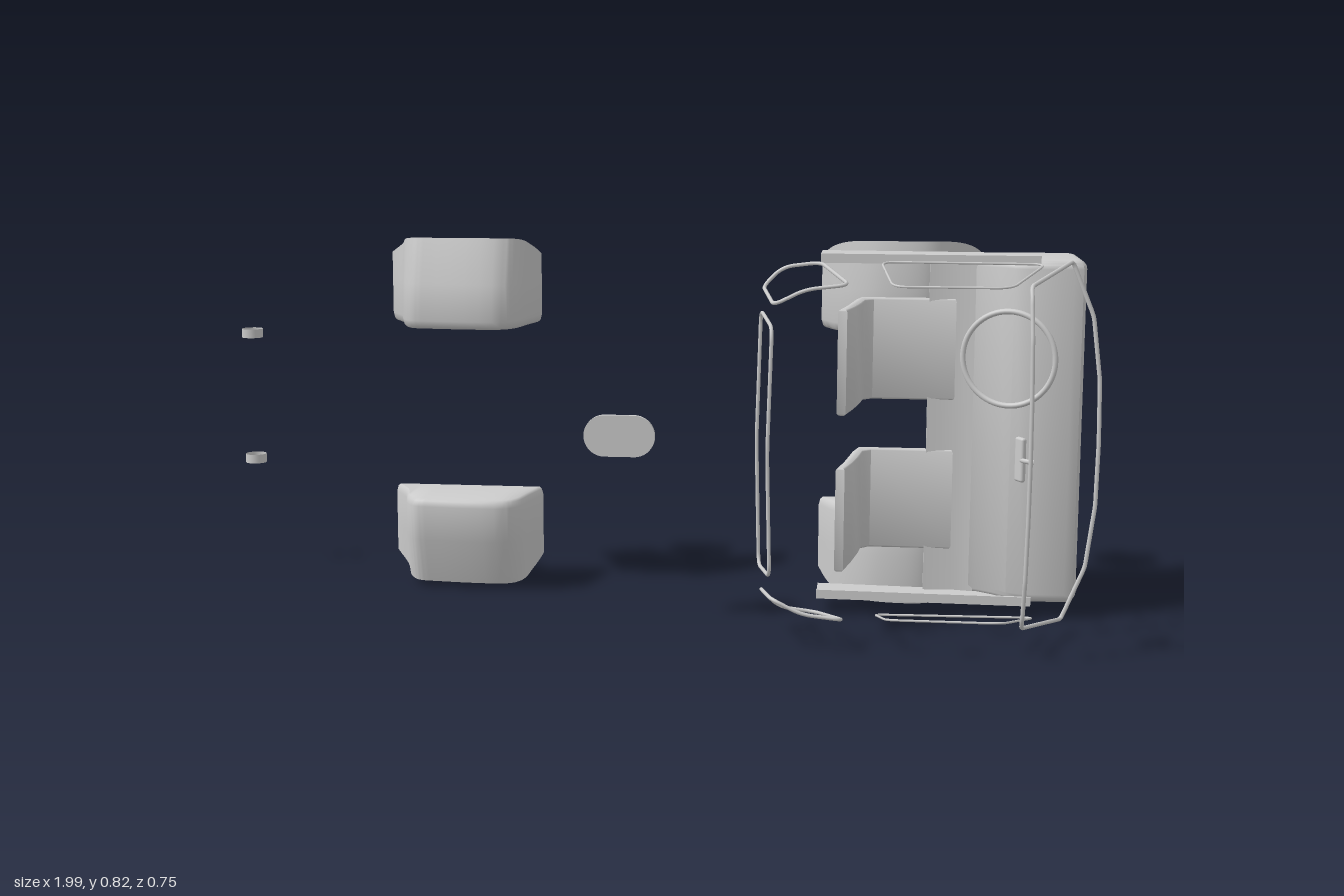
import * as THREE from 'three';
import { toCreasedNormals } from 'three/addons/utils/BufferGeometryUtils.js';
import { RoundedBoxGeometry } from 'three/addons/geometries/RoundedBoxGeometry.js';

const MID = 0.42; // mirror plane height
const V = (x, y, z) => new THREE.Vector3(x, y, z);

export function createModel() {
  const root = new THREE.Group();
  const solid = new THREE.MeshStandardMaterial({ color: 0xcccccc });
  const sheet = new THREE.MeshStandardMaterial({ color: 0xcccccc, side: THREE.DoubleSide });

  function add(name, geo, pos = [0, 0, 0], mat = solid, parent = root) {
    const m = new THREE.Mesh(geo, mat);
    m.name = name;
    m.position.set(...pos);
    parent.add(m);
    return m;
  }

  // Extrude an outline given as [x, z] along y
  function extrudeY(shape, y0, y1, bevel = 0) {
    const g = new THREE.ExtrudeGeometry(shape, {
      depth: y1 - y0 - 2 * bevel, curveSegments: 16, bevelEnabled: bevel > 0,
      bevelThickness: bevel, bevelSize: bevel, bevelOffset: -bevel, bevelSegments: 4,
    });
    g.translate(0, 0, y0 + bevel);
    g.rotateX(-Math.PI / 2);
    return toCreasedNormals(g, 0.7);
  }
  const outline = (pts) => new THREE.Shape(pts.map(([x, z]) => new THREE.Vector2(x, -z)));

  // Closed tube through corner points, with rounded corners
  function frame(name, pts, corner, radius) {
    const path = new THREE.CurvePath();
    const n = pts.length;
    const toward = (a, b) => a.clone().lerp(b, Math.min(0.45, corner / a.distanceTo(b)));
    for (let i = 0; i < n; i++) {
      const p = pts[(i + n - 1) % n], c = pts[i], q = pts[(i + 1) % n];
      const out = toward(c, q);
      path.add(new THREE.QuadraticBezierCurve3(toward(c, p), c, out));
      path.add(new THREE.LineCurve3(out, toward(q, c)));
    }
    return add(name, new THREE.TubeGeometry(path, 240, radius, 8, true));
  }

  // Surface through rows of points of equal length
  function loft(rows) {
    const n = rows[0].length, index = [];
    for (let r = 0; r < rows.length - 1; r++)
      for (let i = 0; i < n - 1; i++) {
        const a = r * n + i, b = a + n;
        index.push(a, b, a + 1, a + 1, b, b + 1);
      }
    const g = new THREE.BufferGeometry().setFromPoints(rows.flat());
    g.setIndex(index);
    g.computeVertexNormals();
    return toCreasedNormals(g, 0.8);
  }

  // Wheel well: arch with a closed inner wall and a curved open outer rim
  function wheelWell(name, s, profile, mid, inner, outer, rimScale) {
    const curve = new THREE.CatmullRomCurve3(profile.map(([x, z]) => V(x, 0, z)), false, 'centripetal');
    const pts = curve.getPoints(48), low = -0.272, cx = (profile[0][0] + profile.at(-1)[0]) / 2;
    const row = (d, k, kz = 1) => pts.map((p) => {
      const z = low + (p.z - low) * kz * k;
      const dd = typeof d === 'function' ? d(z) : d;
      return V(cx + (p.x - cx) * k, mid + s * dd, z);
    });
    const rim = (z) => outer - 0.045 * Math.max(0, (-0.11 - z) / 0.162) ** 2;
    const wall = pts.map((p) => V(cx + (p.x - cx) * 0.95, mid + s * inner, low));
    add(name, loft([
      wall, row(inner, 0.95), row(inner + 0.005, 0.98), row(inner + 0.018, 1),
      row(inner + 0.1, 1, (1 + rimScale) / 2 + 0.06), row(rim, 1, rimScale),
    ]), [0, 0, 0], sheet);
  }

  // Brake: vented or plain disc, hub hat and curved caliper on the outer side
  function brake(name, s, x, z, d, vented) {
    const g = new THREE.Group();
    g.name = name;
    g.position.set(x, MID + s * d, z);
    root.add(g);
    if (vented) {
      for (const k of [-1, 1]) add('discFace', new THREE.CylinderGeometry(0.07, 0.07, 0.002, 48), [0, k * 0.0022, 0], solid, g);
      add('discCore', new THREE.CylinderGeometry(0.064, 0.064, 0.003, 32), [0, 0, 0], solid, g);
    } else add('disc', new THREE.CylinderGeometry(0.068, 0.068, 0.006, 48), [0, 0, 0], solid, g);
    const hat = [[0.043, 0.008], [0.045, 0.014], [0.042, 0.016], [0.04, 0.026], [0.036, 0.026], [0.034, 0.02], [0, 0.02]];
    add('hub', toCreasedNormals(new THREE.LatheGeometry(
      hat.map(([r, h]) => new THREE.Vector2(r, s * h)), 40), 0.6), [0, 0, 0], sheet, g);
    const c = new THREE.Shape();
    c.absarc(0, 0, 0.072, -0.75, 0.75, false);
    c.absarc(0, 0, 0.05, 0.75, -0.75, true);
    add('caliper', extrudeY(c, -0.011, 0.011, 0.003), [0, s * 0.018, 0], solid, g);
  }

  // Dashboard body and footwell floor
  const dash = outline([
    [0.72, -0.088], [0.752, -0.076], [0.785, -0.052], [0.815, -0.022], [0.85, -0.01],
    [0.94, -0.01], [0.96, -0.018], [0.968, -0.04], [0.965, -0.205], [0.957, -0.225], [0.935, -0.235],
    [0.81, -0.235], [0.785, -0.228], [0.765, -0.205], [0.72, -0.15],
  ]);
  add('dashboard', extrudeY(dash, 0.04, 0.793, 0.02));
  const floor = outline([[0.636, -0.085], [0.70, -0.09], [0.745, -0.08], [0.745, -0.18],
    [0.70, -0.125], [0.67, -0.112], [0.636, -0.11]]);
  add('footwellFloor', extrudeY(floor, 0.045, 0.788));

  const frontArch = [[0.395, -0.272], [0.425, -0.21], [0.47, -0.155], [0.53, -0.122], [0.63, -0.117],
    [0.685, -0.15], [0.73, -0.205], [0.765, -0.272]];
  const rearArch = [[-0.612, -0.272], [-0.575, -0.205], [-0.553, -0.13], [-0.53, -0.1], [-0.49, -0.092],
    [-0.32, -0.09], [-0.291, -0.12], [-0.273, -0.2], [-0.257, -0.272]];
  const sill = outline([[0.40, -0.117], [0.79, -0.095], [0.868, 0.003], [0.40, -0.012]]);
  const seatProfile = outline([[0.462, 0.165], [0.478, 0.08], [0.49, 0], [0.497, -0.065], [0.515, -0.085],
    [0.695, -0.085], [0.695, -0.108], [0.485, -0.108], [0.473, -0.05], [0.467, 0], [0.457, 0.08], [0.443, 0.165]]);

  for (const s of [1, -1]) {
    const side = s > 0 ? 'upper' : 'lower';
    const Y = (d) => MID + s * d;

    wheelWell(side + 'FrontWheelWell', s, frontArch, 0.414, 0.199, 0.409, 1);
    wheelWell(side + 'RearWheelWell', s, rearArch, 0.419, 0.197, 0.402, 0.75);
    brake(side + 'FrontBrake', s, 0.585, -0.308, 0.336, true);
    brake(side + 'RearBrake', s, -0.44, -0.305, 0.292, false);

    // Door sill: side plate with an inward lip along its top
    add(side + 'Sill', extrudeY(sill, -0.004, 0.004), [0, Y(0.378), 0]);
    add(side + 'SillLip', new THREE.BoxGeometry(0.468, 0.02, 0.008), [0.634, Y(0.373), -0.004])
      .rotation.y = -0.032;

    // Seat: cushion and leaning, slightly curved backrest
    add(side + 'Seat', extrudeY(seatProfile, -0.1125, 0.1125, 0.007), [0, Y(0.168), 0]);

    // Side and rear quarter window frames
    frame(side + 'SideWindowFrame', [V(0.53, Y(0.378), 0.137), V(0.868, Y(0.376), 0.13),
      V(0.79, Y(0.343), 0.312), V(0.555, Y(0.343), 0.312)], 0.03, 0.0025);
    frame(side + 'QuarterWindowFrame', [V(0.285, Y(0.325), 0.143), V(0.325, Y(0.366), 0.14),
      V(0.405, Y(0.376), 0.138), V(0.468, Y(0.346), 0.312), V(0.38, Y(0.336), 0.316),
      V(0.317, Y(0.304), 0.316)], 0.025, 0.004);

    // Exhaust ring
    add(side + 'ExhaustRing', new THREE.CylinderGeometry(0.025, 0.025, 0.021, 32, 1, true), [-0.975, Y(0.153), -0.325], sheet);
  }

  // Windscreen frame, bowed across the width
  const screen = [];
  for (const t of [-1, -0.7, -0.35, 0, 0.35, 0.7, 1])
    screen.push(V(0.99 - 0.052 * t ** 4 - 0.014 * t * t, MID + 0.381 * t, 0.113));
  for (const t of [1, 0.93, 0.7, 0.35, 0, -0.35, -0.7, -0.93, -1])
    screen.push(V(0.832 - 0.005 * t * t, MID + 0.348 * t, 0.372 - 0.016 * t * t - 0.03 * t ** 8));
  frame('windscreenFrame', screen, 0.01, 0.0045);

  // Rear window frame
  frame('rearWindowFrame', [V(0.281, MID - 0.274, 0.14), V(0.274, MID, 0.14), V(0.281, MID + 0.274, 0.14),
    V(0.314, MID + 0.258, 0.316), V(0.307, MID, 0.318), V(0.314, MID - 0.258, 0.316)], 0.03, 0.004);

  // Steering wheel
  add('steeringWheel', new THREE.TorusGeometry(0.1, 0.006, 12, 64), [0.8, 0.593, 0.09]).rotation.y = -0.34;

  // Interior mirror on a short stalk
  add('mirror', new RoundedBoxGeometry(0.012, 0.09, 0.028, 3, 0.005), [0.815, MID, 0.322]).rotation.y = 0.5;
  const stalk = new THREE.QuadraticBezierCurve3(V(0.816, MID, 0.325), V(0.82, MID, 0.345), V(0.84, MID, 0.352));
  add('mirrorStalk', new THREE.TubeGeometry(stalk, 12, 0.005, 8));

  // Round-ended plate on an open channel bracket
  const plate = new THREE.Shape();
  plate.absarc(0.032, 0, 0.045, -Math.PI / 2, Math.PI / 2, false);
  plate.absarc(-0.032, 0, 0.045, Math.PI / 2, Math.PI * 1.5, false);
  add('bracketPlate', toCreasedNormals(new THREE.ExtrudeGeometry(plate,
    { depth: 0.01, bevelEnabled: false, curveSegments: 24 }), 0.6), [-0.02, MID, 0.138]);
  for (const s of [1, -1])
    add('bracketWall', new THREE.BoxGeometry(0.07, 0.008, 0.048), [-0.02, MID + s * 0.03, 0.115]);
  add('bracketWeb', new THREE.BoxGeometry(0.02, 0.06, 0.048), [-0.02, MID, 0.115]);

  return root;
}
